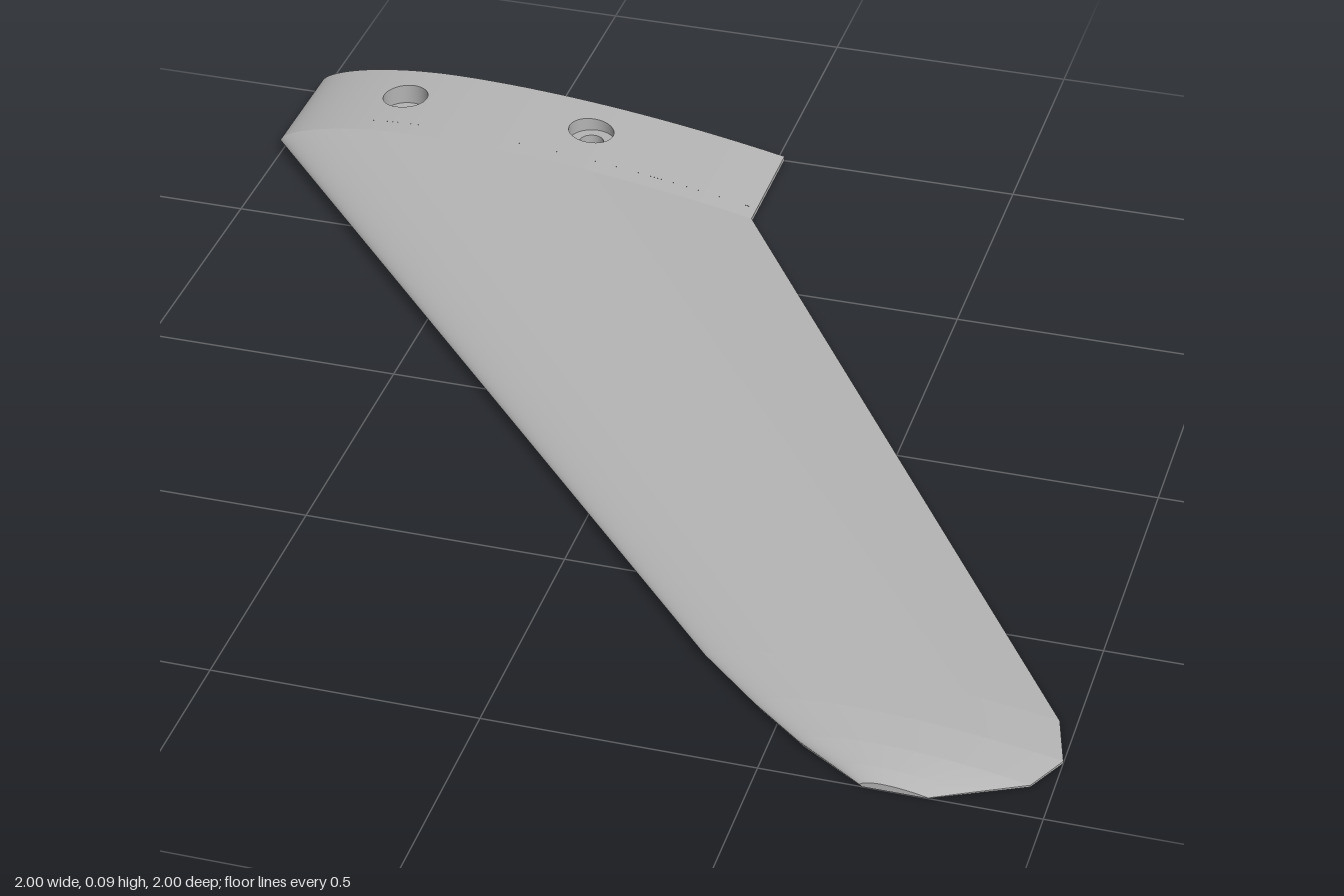
import * as THREE from 'three';
import { ParametricGeometry } from 'three/addons/geometries/ParametricGeometry.js';

// Span stations: z, leading edge x, trailing edge x, thickness scale
const STATIONS = [
  [-1, -1, 0.015, 1], [-0.78, -1, 0.015, 1], [-0.74, -1, 0.015, 1],
  [0.73, 0.33, 0.97, 0.52], [0.84, 0.45, 1, 0.48], [0.92, 0.55, 0.96, 0.39],
  [0.97, 0.63, 0.86, 0.27], [1, 0.68, 0.8, 0.14],
];
const HOLES = [-0.775, -0.37];
const HOLE_Z = -0.89, HEAD_R = 0.047, BORE_R = 0.025, CELL = 0.11, FLOOR = 0.045;
const NOSE = 0.028; // nose height and undercut at the root
const { lerp } = THREE.MathUtils;

function station(z) {
  let i = 0;
  while (i < STATIONS.length - 2 && z > STATIONS[i + 1][0]) i++;
  const a = STATIONS[i], b = STATIONS[i + 1], k = (z - a[0]) / (b[0] - a[0]);
  return { le: lerp(a[1], b[1], k), te: lerp(a[2], b[2], k), s: lerp(a[3], b[3], k) };
}

// Upper curve of the foil, t from nose to trailing edge
function foil(t) {
  if (t < 0.3) return NOSE + (0.09 - NOSE) * Math.pow(Math.max(0, 1 - ((0.3 - t) / 0.3) ** 2), 0.6);
  return 0.01 + 0.08 * (1 - Math.pow((t - 0.3) / 0.7, 1.8));
}
const rootTop = (x) => foil(THREE.MathUtils.clamp((x + 1) / 1.015, 0, 1));

function topPoint(t, z, p) {
  const { le, te, s } = station(z);
  return p.set(lerp(le, te, t), foil(t) * s, z);
}
function bottomPoint(t, z, p) {
  const { le, te, s } = station(z);
  return p.set(lerp(le + NOSE * s, te, t), 0, z);
}

export function createModel() {
  const group = new THREE.Group();
  group.name = 'sweptFin';
  const grey = new THREE.MeshStandardMaterial({ color: 0xb4b4b4 });
  grey.name = 'grey';

  const add = (name, geometry) => {
    const mesh = new THREE.Mesh(geometry, grey);
    mesh.name = name;
    group.add(mesh);
  };
  const patch = (name, fn, nu, nv) => add(name, new ParametricGeometry(fn, nu, nv));
  const tmp = new THREE.Vector3();

  // Skin, nose undercut and trailing edge, one span segment at a time
  for (let i = 0; i < STATIONS.length - 1; i++) {
    const z0 = STATIONS[i][0], z1 = STATIONS[i + 1][0];
    const n = z1 - z0 > 1 ? 16 : 3;
    if (i > 0) patch('upperSkin', (u, v, p) => topPoint(v * v, lerp(z0, z1, u), p), n, 40);
    patch('noseUndercut', (u, v, p) => {
      const z = lerp(z0, z1, u);
      bottomPoint(0, z, p).lerp(topPoint(0, z, tmp), v);
    }, n, 1);
    patch('trailingEdge', (u, v, p) => {
      const z = lerp(z0, z1, u);
      topPoint(1, z, p).lerp(bottomPoint(1, z, tmp), v);
    }, n, 1);
  }

  // Root skin between the screw holes
  const spans = [[-1, HOLES[0] - CELL], [HOLES[0] + CELL, HOLES[1] - CELL], [HOLES[1] + CELL, 0.015]];
  spans.forEach(([x0, x1], i) => patch('rootSkin', (u, v, p) => {
    const x = lerp(x0, x1, i === 0 ? v * v : v);
    p.set(x, rootTop(x), lerp(-1, -0.78, u));
  }, 2, 16));

  // Screw holes: square skin cell, recess wall, recess floor, through bore
  for (const cx of HOLES) {
    const ring = (name, fn, nv) => patch(name, (u, v, p) => {
      const a = u * Math.PI * 2, c = Math.cos(a), s = Math.sin(a);
      const [r, y] = fn(v, CELL / Math.max(Math.abs(c), Math.abs(s)));
      const x = cx + r * c;
      p.set(x, y(x), HOLE_Z + r * s);
    }, 48, nv);
    ring('holeSurround', (v, edge) => [lerp(HEAD_R, edge, v), rootTop], 5);
    ring('recessWall', (v) => [HEAD_R, (x) => lerp(FLOOR, rootTop(x), v)], 1);
    ring('recessFloor', (v) => [lerp(BORE_R, HEAD_R, v), () => FLOOR], 1);
    ring('screwBore', (v) => [BORE_R, () => v * FLOOR], 1);
  }

  // Flat underside with the bores cut through
  const outline = [
    ...STATIONS.map(([z, le, , s]) => new THREE.Vector2(le + NOSE * s, z)),
    ...[...STATIONS].reverse().map(([z, , te]) => new THREE.Vector2(te, z)),
  ];
  const shape = new THREE.Shape(outline);
  for (const cx of HOLES) shape.holes.push(new THREE.Path().absarc(cx, HOLE_Z, BORE_R, 0, Math.PI * 2, true));
  add('underside', new THREE.ShapeGeometry(shape, 24).rotateX(Math.PI / 2));

  // End faces
  patch('rootFace', (u, v, p) => bottomPoint(v * v, -1, p).lerp(topPoint(v * v, -1, tmp), u), 1, 40);
  patch('tipFace', (u, v, p) => bottomPoint(u * u, 1, p).lerp(topPoint(u * u, 1, tmp), v), 40, 1);
  return group;
}
